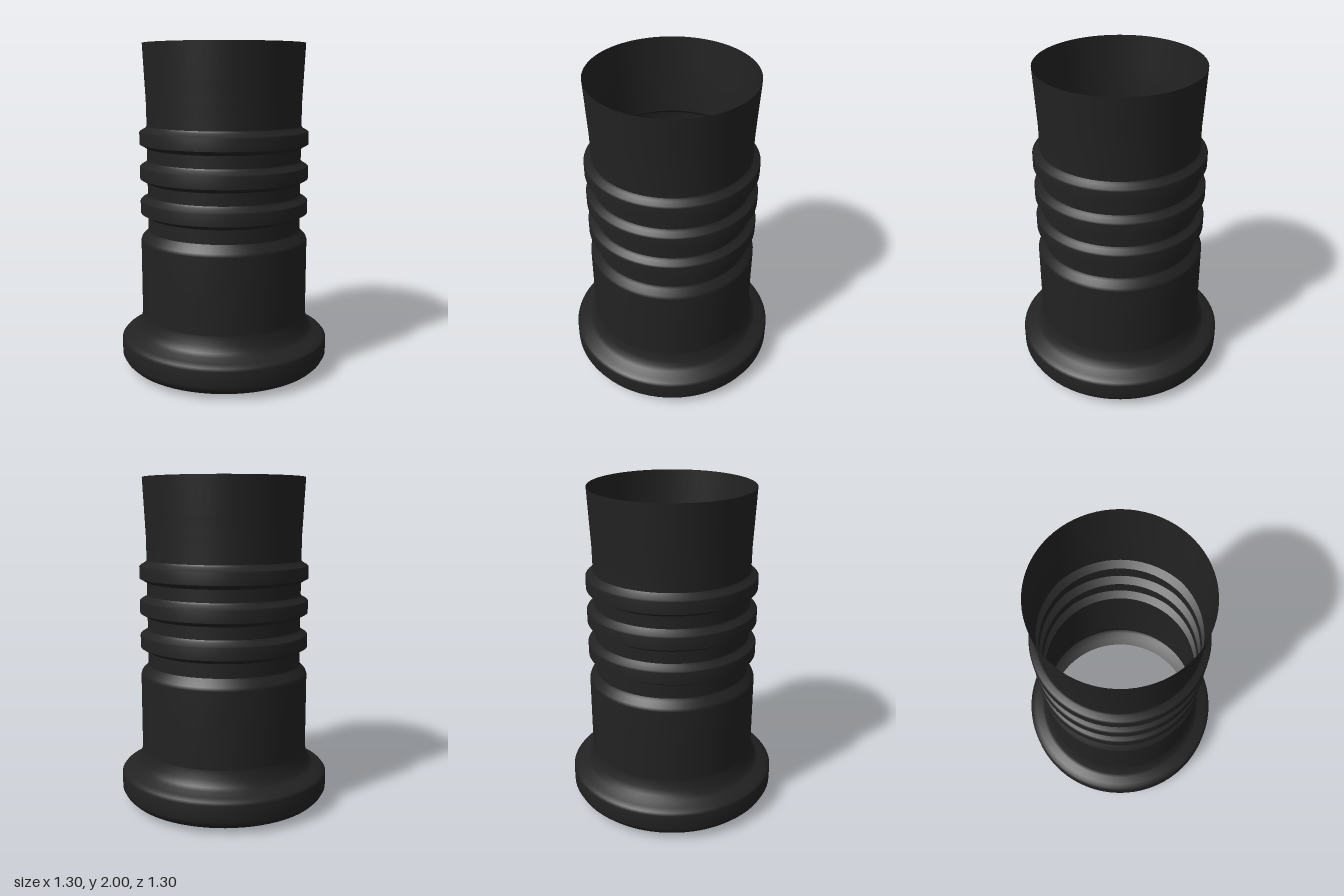
import * as THREE from 'three';

const rubber = new THREE.MeshStandardMaterial({ color: 0x222222, side: THREE.DoubleSide });
rubber.name = 'black rubber';

// Thin-walled band turned from [radius, height] pairs, bottom to top
function band(name, profile) {
  const points = profile.map(([r, y]) => new THREE.Vector2(r, y));
  const mesh = new THREE.Mesh(new THREE.LatheGeometry(points, 72), rubber);
  mesh.name = name;
  return mesh;
}

export function createModel() {
  const group = new THREE.Group();
  group.name = 'ribbedSleeve';
  const neck = 0.472, body = 0.517;

  // Hollow rounded flange flowing into the lower body
  group.add(band('baseFlange', [
    [0.525, 0], [0.57, 0.014], [0.61, 0.033], [0.632, 0.055], [0.648, 0.085],
    [0.648, 0.18], [0.636, 0.195], [0.61, 0.21], [0.565, 0.23], [0.545, 0.247],
    [0.53, 0.285], [0.52, 0.32], [body, 0.34],
  ]));
  group.add(band('lowerBody', [
    [body, 0.34], [body, 0.58], [body, 0.805], [0.51, 0.825], [0.48, 0.855], [neck, 0.87],
  ]));

  // Three ribs, each with the straight neck below it
  const pitch = 0.21;
  for (let i = 0; i < 3; i++) {
    const y = 0.955 + i * pitch;
    const below = i === 0 ? 0.87 : y - pitch + 0.135;
    group.add(band('neckGroove', [[neck, below], [neck, y]]));
    group.add(band('ribUnderside', [[neck, y], [body, y + 0.026]]));
    group.add(band('rib', [
      [body, y + 0.026], [body, y + 0.098], [0.508, y + 0.106],
      [0.48, y + 0.122], [neck, y + 0.135],
    ]));
  }

  // Slightly flared open mouth
  group.add(band('upperCollar', [[neck, 1.51], [0.474, 1.66], [0.48, 1.78], [0.491, 2]]));
  return group;
}
